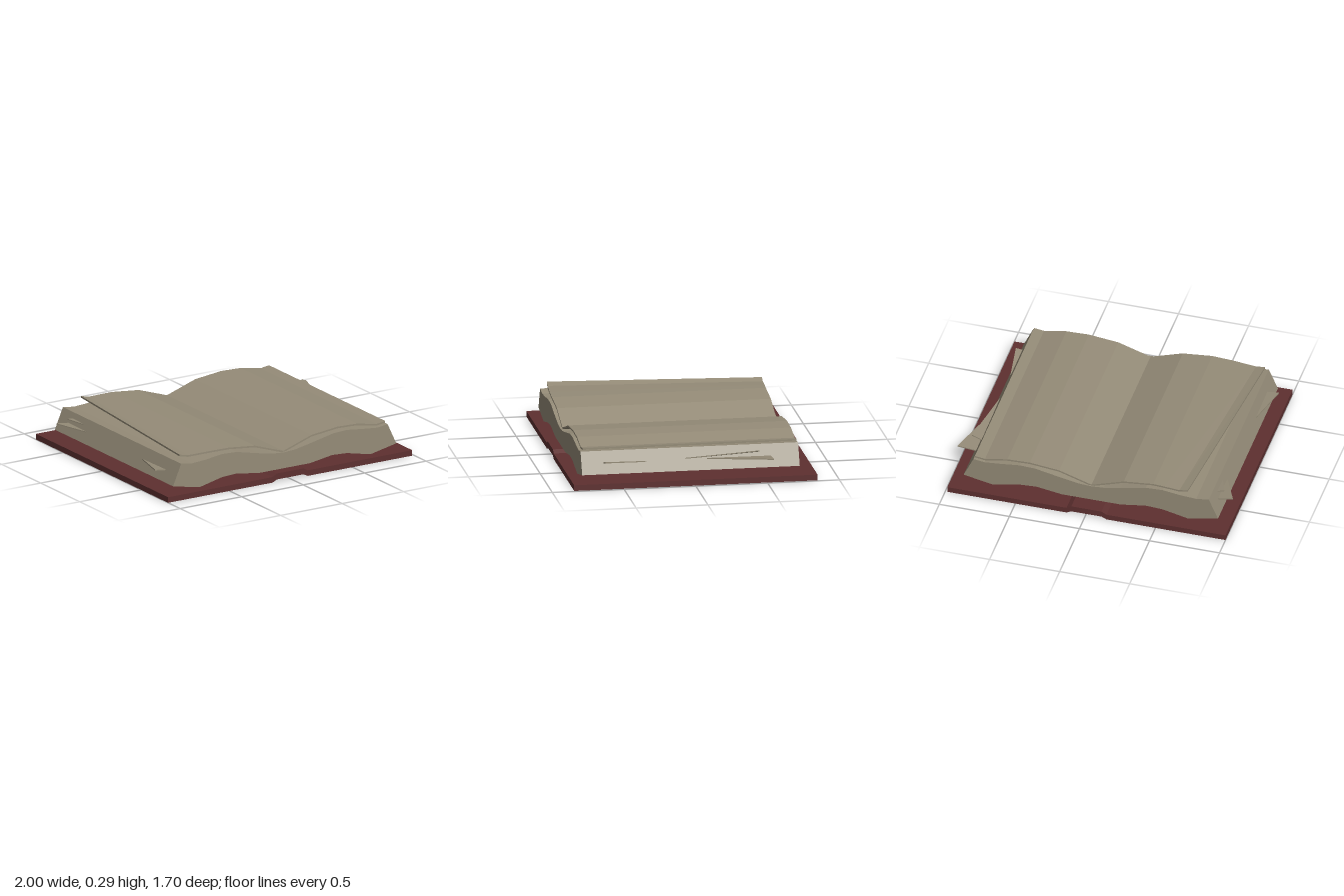
import * as THREE from 'three';
import { ConvexGeometry } from 'three/addons/geometries/ConvexGeometry.js';

const paper = new THREE.MeshStandardMaterial({ color: 0x958c78, flatShading: true });
const leather = new THREE.MeshStandardMaterial({ color: 0x5e3030, flatShading: true });

function addMesh(group, name, geometry, material) {
  const mesh = new THREE.Mesh(geometry, material);
  mesh.name = name;
  group.add(mesh);
}

// Extrude an x/y outline from z0 to z1
function extrudeProfile(points, z0, z1) {
  const shape = new THREE.Shape(points.map(([x, y]) => new THREE.Vector2(x, y)));
  const geo = new THREE.ExtrudeGeometry(shape, { depth: z1 - z0, bevelEnabled: false });
  return geo.translate(0, 0, z0);
}

// Thin sheet lofted between a front and a back edge, points [x, y, z] in order of rising x
function sheet(front, back, thickness) {
  const n = front.length - 1;
  const geo = new THREE.BoxGeometry(1, 1, 1, n, 1, 1);
  const pos = geo.attributes.position;
  for (let i = 0; i < pos.count; i++) {
    const k = Math.round((pos.getX(i) + 0.5) * n);
    const [x, y, z] = (pos.getZ(i) > 0 ? front : back)[k];
    pos.setXYZ(i, x, y + (pos.getY(i) > 0 ? 0 : -thickness), z);
  }
  geo.computeVertexNormals();
  return geo;
}

// Thin triangular scrap of paper
function scrap(corners) {
  const points = [];
  for (const [x, y, z] of corners) {
    points.push(new THREE.Vector3(x, y, z), new THREE.Vector3(x, y - 0.007, z));
  }
  return new ConvexGeometry(points);
}

export function createModel() {
  const book = new THREE.Group();
  book.name = 'openBook';

  // Cover boards with the raised spine between them
  addMesh(book, 'cover', extrudeProfile([
    [-1, 0], [-0.15, 0], [-0.115, 0.017], [0.1, 0.017], [0.135, 0], [0.985, 0],
    [0.985, 0.04], [0.135, 0.04], [0.1, 0.06], [-0.115, 0.06], [-0.15, 0.04], [-1, 0.04],
  ], -0.85, 0.845), leather);

  // Wavy block of pages
  addMesh(book, 'pageBlock', extrudeProfile([
    [-0.915, 0.085], [-0.7, 0.042], [-0.52, 0.083], [-0.4, 0.09], [-0.22, 0.062],
    [0.2, 0.062], [0.38, 0.09], [0.5, 0.083], [0.69, 0.042], [0.9, 0.085],
    [0.83, 0.235], [0.75, 0.224], [0.63, 0.235], [0.5, 0.25], [0.39, 0.245], [0.2, 0.205],
    [0.08, 0.182], [-0.01, 0.176], [-0.1, 0.182], [-0.22, 0.205], [-0.4, 0.245],
    [-0.52, 0.25], [-0.65, 0.232], [-0.76, 0.225], [-0.85, 0.237],
  ], -0.74, 0.775), paper);

  // Loose right page
  const right = [[-0.01, 0.182], [0.22, 0.258], [0.43, 0.281], [0.59, 0.276], [0.75, 0.246], [0.82, 0.256]];
  addMesh(book, 'leftLoosePage', sheet(
    right.map(([x, y]) => [x, y, 0.76]),
    right.map(([x, y]) => [x, y, -0.73]), 0.012), paper);

  // Loose page on the other side, skewed with a lifted edge
  addMesh(book, 'rightLoosePage', sheet(
    [[-0.835, 0.288, 0.73], [-0.77, 0.275, 0.737], [-0.59, 0.28, 0.752], [-0.45, 0.281, 0.76], [-0.24, 0.259, 0.76], [-0.01, 0.182, 0.76]],
    [[-0.7, 0.29, -0.745], [-0.64, 0.276, -0.741], [-0.53, 0.28, -0.735], [-0.45, 0.281, -0.73], [-0.24, 0.259, -0.73], [-0.01, 0.182, -0.73]],
    0.012), paper);

  // Torn scraps sticking out of the page edges
  const scraps = [
    [[1, 0.17, -0.545], [0.865, 0.158, -0.545], [0.87, 0.162, -0.1]],
    [[0.92, 0.213, -0.455], [0.845, 0.19, -0.46], [0.865, 0.168, 0.05]],
    [[0.91, 0.172, 0.615], [0.865, 0.162, 0.62], [0.865, 0.158, 0.31]],
    [[-0.985, 0.178, -0.61], [-0.88, 0.162, -0.62], [-0.88, 0.16, -0.38]],
    [[-0.915, 0.208, -0.575], [-0.865, 0.2, -0.585], [-0.865, 0.196, -0.44]],
    [[-0.965, 0.172, 0.625], [-0.88, 0.162, 0.625], [-0.88, 0.158, 0.32]],
  ];
  scraps.forEach((corners, i) => addMesh(book, `tornScrap${i + 1}`, scrap(corners), paper));

  return book;
}
